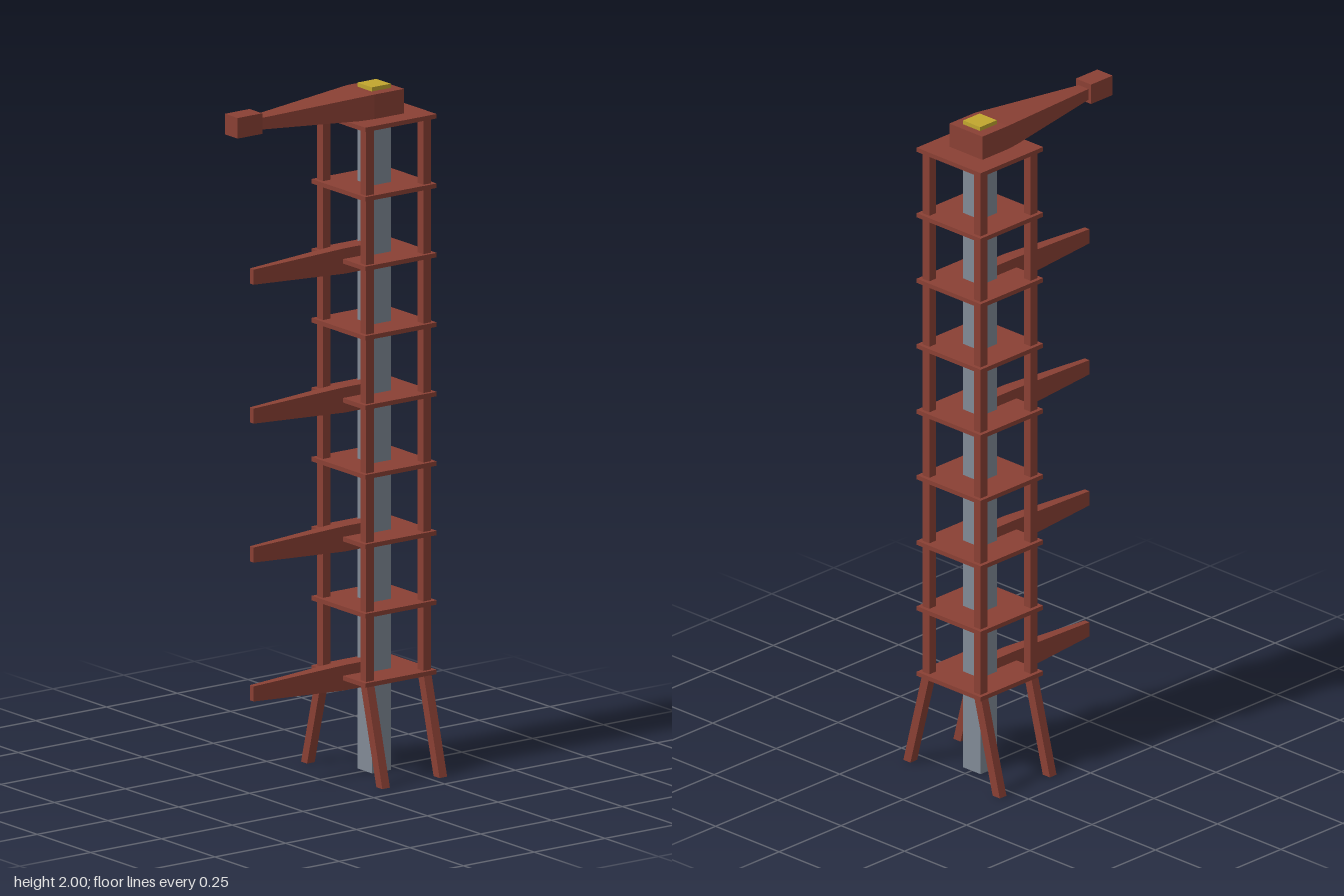
import * as THREE from 'three';

const red = new THREE.MeshStandardMaterial({ color: 0x8a4034 });
red.name = 'rust red steel';
const grey = new THREE.MeshStandardMaterial({ color: 0x818a96 });
grey.name = 'grey shaft';
const yellow = new THREE.MeshStandardMaterial({ color: 0xc2a62e });
yellow.name = 'yellow cap';

const CENTRE_Z = -0.19;
const BASE_Y = 0.29;
const TOP_Y = 1.91;

function addMesh(parent, name, geometry, material, x = 0, y = 0, z = 0) {
  const mesh = new THREE.Mesh(geometry, material);
  mesh.name = name;
  mesh.position.set(x, y, z);
  parent.add(mesh);
  return mesh;
}

// Rectangular beam along z; each section is [z, half width, bottom, top]
function taperedBeam(sections) {
  const n = sections.length - 1;
  const geometry = new THREE.BoxGeometry(1, 1, 1, 1, 1, n).toNonIndexed();
  const p = geometry.attributes.position;
  for (let i = 0; i < p.count; i++) {
    const [z, half, bottom, top] = sections[Math.round((p.getZ(i) + 0.5) * n)];
    p.setXYZ(i, Math.sign(p.getX(i)) * half, p.getY(i) > 0 ? top : bottom, z);
  }
  geometry.computeVertexNormals();
  return geometry;
}

// Upright box whose foot is shifted sideways
function splayedLeg(width, height, shift) {
  const geometry = new THREE.BoxGeometry(width, height, 0.027).toNonIndexed();
  const p = geometry.attributes.position;
  for (let i = 0; i < p.count; i++) {
    if (p.getY(i) < 0) p.setX(i, p.getX(i) + shift);
  }
  geometry.computeVertexNormals();
  return geometry;
}

export function createModel() {
  const tower = new THREE.Group();
  tower.name = 'launchTower';

  // Central shaft
  addMesh(tower, 'shaft', new THREE.BoxGeometry(0.07, TOP_Y, 0.066), grey, 0, TOP_Y / 2, CENTRE_Z);

  // Corner posts with splayed legs
  for (const side of [-1, 1]) {
    for (const z of [-0.291, -0.089]) {
      addMesh(tower, 'cornerPost', new THREE.BoxGeometry(0.027, TOP_Y - BASE_Y, 0.027), red,
        side * 0.101, (TOP_Y + BASE_Y) / 2, z);
      addMesh(tower, 'splayedLeg', splayedLeg(0.028, BASE_Y, side * 0.075), red,
        side * 0.101, BASE_Y / 2, z);
    }
  }

  // Platforms, with a swing arm on every second one
  const arm = taperedBeam([
    [-0.155, 0.021, -0.037, 0.037],
    [-0.07, 0.021, -0.037, 0.037],
    [0.242, 0.009, -0.022, 0.022],
  ]);
  const platform = new THREE.BoxGeometry(0.252, 0.013, 0.252);
  for (let i = 0; i < 9; i++) {
    const y = BASE_Y + (i * (TOP_Y - BASE_Y)) / 8;
    addMesh(tower, 'platform', platform, red, 0, y, CENTRE_Z);
    if (i % 2 === 0 && i < 8) addMesh(tower, 'swingArm', arm, red, 0, y, 0);
  }

  // Top crane
  const crane = new THREE.Group();
  crane.name = 'topCrane';
  tower.add(crane);
  addMesh(crane, 'craneBoom', taperedBeam([
    [-0.247, 0.065, 1.914, 1.988],
    [-0.143, 0.065, 1.914, 1.988],
    [0.23, 0.019, 1.935, 1.968],
  ]), red);
  addMesh(crane, 'craneHead', new THREE.BoxGeometry(0.06, 0.06, 0.087), red, 0, 1.955, 0.271);
  addMesh(crane, 'craneCap', new THREE.BoxGeometry(0.067, 0.02, 0.067), yellow, 0, 1.99, CENTRE_Z);

  return tower;
}
